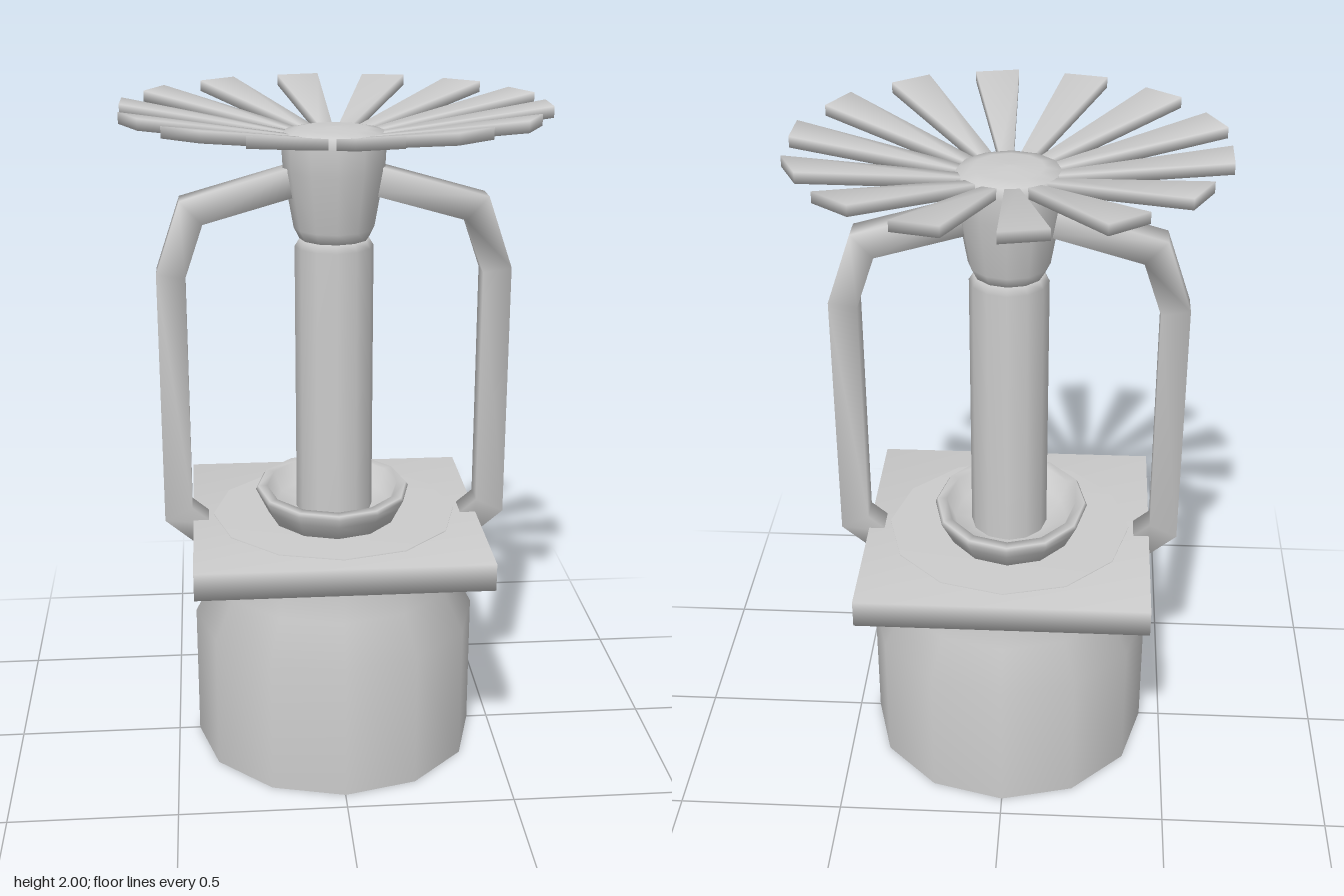
import * as THREE from 'three';
import { mergeVertices } from 'three/addons/utils/BufferGeometryUtils.js';

const material = new THREE.MeshStandardMaterial({ color: 0xcccccc, side: THREE.DoubleSide });

function add(parent, name, geometry) {
  const mesh = new THREE.Mesh(geometry, material);
  mesh.name = name;
  parent.add(mesh);
  return mesh;
}

// Turned part from [radius, height] pairs, bottom to top
function turned(profile, segments) {
  return new THREE.LatheGeometry(profile.map(([r, y]) => new THREE.Vector2(r, y)), segments);
}

// Box with normals smoothed across its edges
function smoothBox(w, h, d) {
  const box = new THREE.BoxGeometry(w, h, d);
  box.deleteAttribute('normal');
  box.deleteAttribute('uv');
  const geometry = mergeVertices(box);
  geometry.computeVertexNormals();
  return geometry;
}

// Square bar along a bent path in the xy plane, with mitred corners
function bentBar(path, halfWidth) {
  const pts = path.map(([x, y]) => new THREE.Vector2(x, y));
  const corners = [[1, -1], [1, 1], [-1, 1], [-1, -1]];
  const positions = [];
  const index = [];
  pts.forEach((p, i) => {
    const before = p.clone().sub(pts[Math.max(i - 1, 0)]).normalize();
    const after = pts[Math.min(i + 1, pts.length - 1)].clone().sub(p).normalize();
    const dir = before.clone().add(after).normalize();
    const stretch = halfWidth / dir.dot(i ? before : after);
    corners.forEach(([u, v], j) => {
      positions.push(p.x + dir.y * u * stretch, p.y - dir.x * u * stretch, v * halfWidth);
      if (i) {
        const k = (j + 1) % 4;
        const lo = (i - 1) * 4, hi = i * 4;
        index.push(lo + j, hi + k, lo + k, lo + j, hi + j, hi + k);
      }
    });
  });
  // End caps
  const last = (pts.length - 1) * 4;
  index.push(0, 1, 2, 0, 2, 3, last, last + 2, last + 1, last, last + 3, last + 2);
  const geometry = new THREE.BufferGeometry();
  geometry.setAttribute('position', new THREE.Float32BufferAttribute(positions, 3));
  geometry.setIndex(index);
  geometry.computeVertexNormals();
  return geometry;
}

// Tapered blade pointing to +z, rising towards its slightly slanted tip
function bladeGeometry() {
  const geometry = smoothBox(1, 0.032, 1);
  const pos = geometry.attributes.position;
  for (let i = 0; i < pos.count; i++) {
    const t = pos.getZ(i) + 0.5;
    const x = Math.sign(pos.getX(i)) * THREE.MathUtils.lerp(0.02, 0.066, t);
    const y = pos.getY(i) + THREE.MathUtils.lerp(1.9, 1.984, t);
    pos.setXYZ(i, x, y, THREE.MathUtils.lerp(0.13, 0.61, t) - 0.1 * x * t);
  }
  geometry.computeVertexNormals();
  return geometry;
}

export function createModel() {
  const model = new THREE.Group();
  model.name = 'sprinklerHead';

  // Pipe end, open below, with a shoulder; the square plate sits on it
  add(model, 'base', turned(
    [[0.435, 0], [0.435, 0.42], [0.372, 0.54], [0.372, 0.7]], 12));
  add(model, 'plate', smoothBox(0.87, 0.083, 0.87)).position.y = 0.7025;
  add(model, 'seat', turned([[0.372, 0.74], [0.372, 0.748], [0, 0.748]], 12));

  // Shallow oval cup around the foot of the stem
  const cup = add(model, 'cup', turned(
    [[0.12, 0.74], [0.195, 0.745], [0.22, 0.795], [0.235, 0.825], [0.228, 0.835],
      [0.2, 0.835], [0.175, 0.775], [0.1, 0.765]], 12));
  cup.scale.z = 1.16;
  cup.position.x = -0.006;

  // Central stem and flared hub
  add(model, 'stem', turned(
    [[0.116, 0.74], [0.116, 1.585], [0.1, 1.61], [0, 1.61]], 12));
  add(model, 'hub', turned(
    [[0, 1.6], [0.1, 1.605], [0.118, 1.64], [0.148, 1.81], [0.152, 1.885],
      [0.147, 1.918], [0.1, 1.927], [0, 1.932]], 12));

  // Two frame arms from plate to hub
  const arm = bentBar(
    [[0.4, 0.7], [0.478, 0.765], [0.478, 1.51], [0.415, 1.695], [0.08, 1.79]], 0.042);
  add(model, 'leftArm', arm);
  add(model, 'rightArm', arm).rotation.y = Math.PI;

  // Deflector blades
  const deflector = new THREE.Group();
  deflector.name = 'deflector';
  model.add(deflector);
  const blade = bladeGeometry();
  const count = 14;
  for (let i = 0; i < count; i++) {
    add(deflector, 'blade', blade).rotation.y = ((i + 0.25) / count) * Math.PI * 2;
  }
  return model;
}
